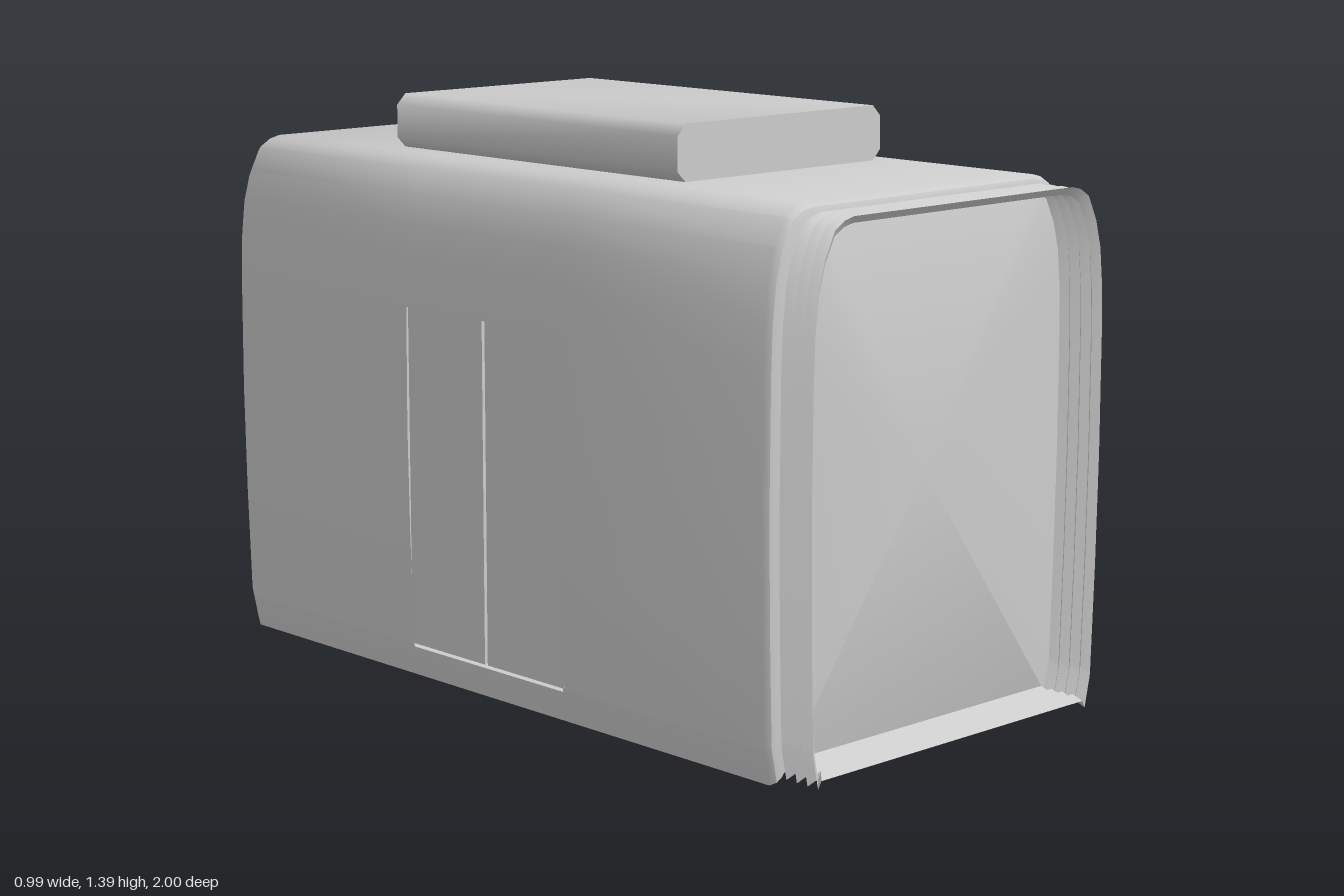
import * as THREE from 'three';
import { toCreasedNormals } from 'three/addons/utils/BufferGeometryUtils.js';

const grey = new THREE.MeshStandardMaterial({ color: 0xcccccc, side: THREE.DoubleSide });
grey.name = 'grey';

// Half of the carriage cross-section, from the floor edge up to the roof
const half = [
  [0.455, 0.018], [0.465, 0], [0.481, 0.075], [0.482, 0.085], [0.49, 0.35], [0.494, 0.62],
  [0.492, 0.91], [0.488, 1.02], [0.478, 1.11], [0.46, 1.175], [0.43, 1.235], [0.4, 1.253], [0.37, 1.26],
];
const section = [...half, ...half.map(([x, y]) => [-x, y]).reverse()];
const MID = 0.63;

// The cross-section drawn in by a distance on every side
const ring = (z, inset) => section.map(([x, y]) => new THREE.Vector3(
  x * (1 - inset / 0.49), MID + (y - MID) * (1 - inset / MID), z));

// Skin through stations [z, inset], ordered back to front; skip leaves openings
function loft(stations, { capBack, capFront, skip = () => false, crease = 0.6 }) {
  const pos = [];
  const tri = (...p) => p.forEach(v => pos.push(v.x, v.y, v.z));
  const rings = stations.map(([z, inset]) => ring(z, inset));
  const n = section.length;
  for (let i = 0; i < rings.length - 1; i++) {
    for (let j = 0; j < n; j++) {
      const k = (j + 1) % n;
      const a = rings[i][j], b = rings[i][k], c = rings[i + 1][k], d = rings[i + 1][j];
      if (skip(a, b, c)) continue;
      tri(a, b, c);
      tri(a, c, d);
    }
  }
  const cap = (r, front) => {
    const mid = new THREE.Vector3(0, MID, r[0].z);
    for (let j = 0; j < n; j++) {
      const k = (j + 1) % n;
      front ? tri(mid, r[j], r[k]) : tri(mid, r[k], r[j]);
    }
  };
  if (capBack) cap(rings[0], false);
  if (capFront) cap(rings[rings.length - 1], true);
  const geo = new THREE.BufferGeometry();
  geo.setAttribute('position', new THREE.Float32BufferAttribute(pos, 3));
  return toCreasedNormals(geo, crease);
}

export function createModel() {
  const model = new THREE.Group();
  model.name = 'carriageSection';
  const add = (name, geo, parent = model) => {
    const mesh = new THREE.Mesh(geo, grey);
    mesh.name = name;
    parent.add(mesh);
    return mesh;
  };

  // Hollow body shell with a doorway in each side
  const doorBack = -0.32, doorFront = 0.22, doorBottom = 0.075, doorTop = 0.91;
  const inDoorway = (a, b, c) => {
    const y = (a.y + b.y) / 2, z = (a.z + c.z) / 2;
    return Math.abs(a.x) > 0.4 && Math.abs(b.x) > 0.4 && a.x * b.x > 0 &&
      y > doorBottom && y < doorTop && z > doorBack && z < doorFront;
  };
  add('body', loft(
    [[-1, 0.016], [-0.97, 0], [doorBack, 0], [doorFront, 0], [0.87, 0], [0.885, 0.008], [0.89, 0.02]],
    { capBack: true, capFront: true, skip: inDoorway }));

  // Open pleated gangway at the front
  const pleats = [[0.89, 0.034]];
  for (let i = 1; i <= 7; i++) pleats.push([0.89 + i * 0.11 / 7, i % 2 ? 0.017 : 0.034]);
  add('gangwayBellows', loft(pleats, {}));

  // Two flat leaves per doorway, with narrow gaps in the middle and at the sill
  const leafBottom = 0.084, leafTop = doorTop + 0.005;
  const middle = (doorBack + doorFront) / 2, gap = 0.005;
  for (const side of [1, -1]) {
    const doors = new THREE.Group();
    doors.name = side > 0 ? 'leftDoors' : 'rightDoors';
    for (const [z0, z1] of [[doorBack - 0.005, middle - gap], [middle + gap, doorFront + 0.005]]) {
      const leaf = add('doorLeaf', new THREE.BoxGeometry(0.012, leafTop - leafBottom, z1 - z0), doors);
      leaf.position.set(side * 0.477, (leafTop + leafBottom) / 2, (z0 + z1) / 2);
    }
    model.add(doors);
  }

  // Roof unit with bevelled long edges
  const w = 0.33, b = 0.026, y0 = 1.258, y1 = 1.39;
  const outline = new THREE.Shape([
    [w - b, y0], [w, y0 + b], [w, y1 - b], [w - b, y1],
    [b - w, y1], [-w, y1 - b], [-w, y0 + b], [b - w, y0],
  ].map(p => new THREE.Vector2(...p)));
  const roofUnit = new THREE.ExtrudeGeometry(outline, { depth: 0.985, bevelEnabled: false });
  roofUnit.translate(0, 0, -0.545);
  add('roofUnit', toCreasedNormals(roofUnit, 0.9));

  return model;
}
